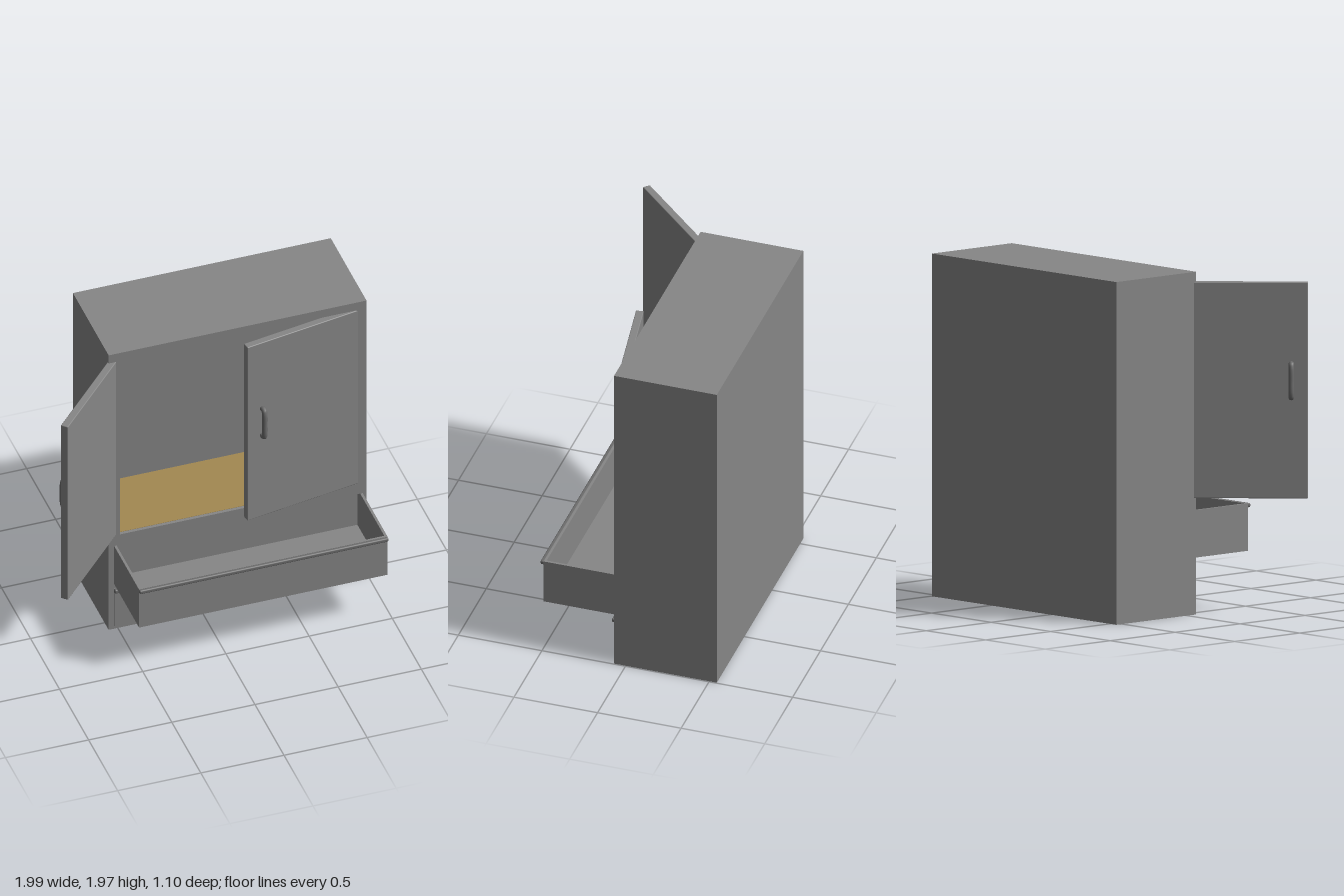
import * as THREE from 'three';
import { RoundedBoxGeometry } from 'three/addons/geometries/RoundedBoxGeometry.js';

const grey = new THREE.MeshStandardMaterial({ color: 0x868686 });
const darkGrey = new THREE.MeshStandardMaterial({ color: 0x6c6c6c });
const wood = new THREE.MeshStandardMaterial({ color: 0xa38951 });

function add(parent, name, geometry, material = grey) {
  const mesh = new THREE.Mesh(geometry, material);
  mesh.name = name;
  parent.add(mesh);
  return mesh;
}

// Box given by its low and high corners; bevel > 0 softens the edges
function block(parent, name, [x0, y0, z0], [x1, y1, z1], bevel = 0, material = grey) {
  const size = [x1 - x0, y1 - y0, z1 - z0];
  const geometry = bevel ? new RoundedBoxGeometry(...size, 2, bevel) : new THREE.BoxGeometry(...size);
  add(parent, name, geometry, material).position.set((x0 + x1) / 2, (y0 + y1) / 2, (z0 + z1) / 2);
}

function rectangle(Type, x0, y0, x1, y1) {
  return new Type([[x0, y0], [x1, y0], [x1, y1], [x0, y1]].map(([x, y]) => new THREE.Vector2(x, y)));
}

const LEFT = -0.555, RIGHT = 0.995, TOP = 1.965, FRONT = 0.07, BACK = -0.545, INNER_BACK = -0.42;
const OPEN_X0 = -0.487, OPEN_X1 = 0.935, OPEN_Y0 = 0.666, OPEN_Y1 = 1.91;
const DRAWER_X0 = -0.522, DRAWER_X1 = 0.972, DRAWER_Y0 = 0.32, DRAWER_Y1 = 0.592;

// Door with its pivot on the outer hinge edge; side is the direction of the free edge
function door(name, side, x, z, angle) {
  const group = new THREE.Group();
  group.name = name;
  const width = 0.72, thick = 0.045;
  const x0 = side < 0 ? -width : 0;
  block(group, 'doorPanel', [x0, 0.668, -thick], [x0 + width, 1.907, 0], 0.005);

  // Pull handle: a nearly straight bar on two short posts
  const hx = side * (width - 0.095);
  const path = new THREE.CatmullRomCurve3(
    [[1.25, -0.005], [1.251, 0.022], [1.27, 0.03], [1.345, 0.032], [1.42, 0.03], [1.439, 0.022], [1.44, -0.005]]
      .map(([y, d]) => new THREE.Vector3(hx, y, d)));
  add(group, 'doorHandle', new THREE.TubeGeometry(path, 40, 0.016, 12), darkGrey);

  group.position.set(x, 0, z);
  group.rotation.y = angle;
  return group;
}

// Drawer front with a full-width grip along its top edge
function drawerFront(group, y0, y1, z0, z1) {
  block(group, 'drawerFront', [DRAWER_X0, y0, z0], [DRAWER_X1, y1, z1]);
  block(group, 'drawerGrip', [DRAWER_X0 - 0.002, y1 - 0.024, z1 - 0.005], [DRAWER_X1, y1 + 0.001, z1 + 0.019], 0.008, darkGrey);
}

export function createModel() {
  const model = new THREE.Group();
  model.name = 'wardrobe';

  // Carcass: front block with cupboard and drawer openings, closed by the back
  const outline = rectangle(THREE.Shape, LEFT, 0, RIGHT, TOP);
  outline.holes.push(
    rectangle(THREE.Path, OPEN_X0, OPEN_Y0, OPEN_X1, OPEN_Y1),
    rectangle(THREE.Path, DRAWER_X0, DRAWER_Y0, DRAWER_X1, DRAWER_Y1));
  const shell = new THREE.ExtrudeGeometry(outline, { depth: FRONT - INNER_BACK, bevelEnabled: false });
  add(model, 'carcass', shell.translate(0, 0, INNER_BACK));
  block(model, 'backPanel', [LEFT, 0, BACK], [RIGHT, TOP, INNER_BACK]);

  // Wooden floor of the cupboard
  block(model, 'cupboardFloor', [OPEN_X0, OPEN_Y0 - 0.01, INNER_BACK], [OPEN_X1, OPEN_Y0 + 0.002, FRONT - 0.02], 0, wood);

  // Doors: one wide open, one ajar
  model.add(door('rightDoor', 1, -0.505, 0, -2.33));
  model.add(door('leftDoor', -1, 0.947, FRONT, 0.17));

  // Pulled-out upper drawer
  const upper = new THREE.Group();
  upper.name = 'upperDrawer';
  const wall = 0.015, back = 0.008, front = 0.485;
  drawerFront(upper, DRAWER_Y0, DRAWER_Y1, front, front + wall);
  block(upper, 'drawerFloor', [DRAWER_X0, DRAWER_Y0, back], [DRAWER_X1, DRAWER_Y0 + wall, front]);
  block(upper, 'drawerBack', [DRAWER_X0 + wall, DRAWER_Y0 + wall, back], [DRAWER_X1 - wall, DRAWER_Y1, back + wall]);
  for (const x of [DRAWER_X0, DRAWER_X1 - wall]) {
    block(upper, 'drawerSide', [x, DRAWER_Y0 + wall, back], [x + wall, DRAWER_Y1, front]);
  }
  model.add(upper);

  // Closed lower drawer
  const lower = new THREE.Group();
  lower.name = 'lowerDrawer';
  drawerFront(lower, 0.02, 0.286, 0.05, 0.073);
  model.add(lower);

  return model;
}
